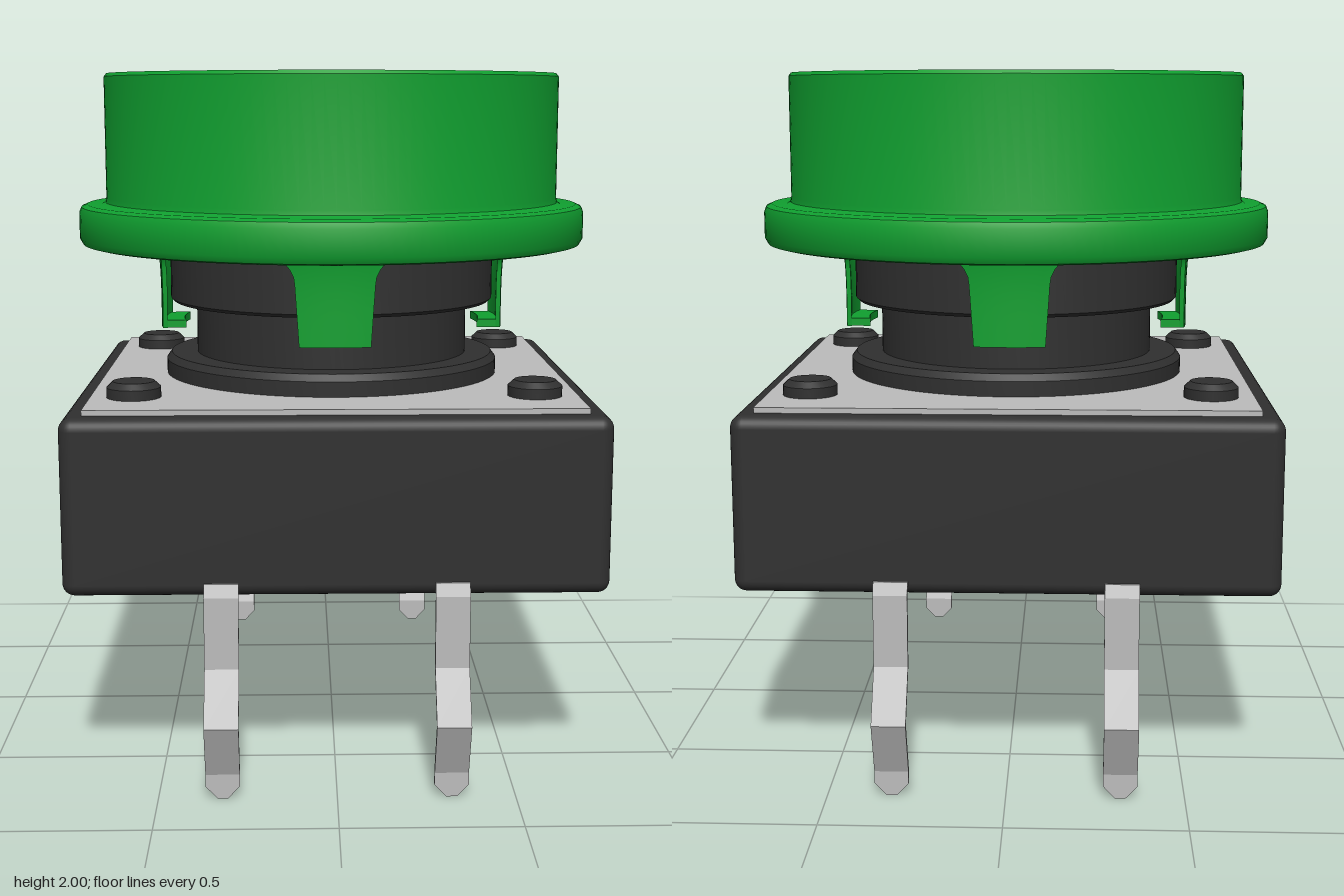
import * as THREE from 'three';
import { toCreasedNormals } from 'three/addons/utils/BufferGeometryUtils.js';
import { RoundedBoxGeometry } from 'three/addons/geometries/RoundedBoxGeometry.js';

const material = (name, color) => {
  const m = new THREE.MeshStandardMaterial({ color });
  m.name = name;
  return m;
};

export function createModel() {
  const green = material('green plastic', 0x10a030);
  const black = material('black plastic', 0x303030);
  const metal = material('grey metal', 0xbcbcbc);
  const model = new THREE.Group();
  model.name = 'pushButton';

  const add = (name, geometry, mat, parent = model) => {
    const mesh = new THREE.Mesh(geometry, mat);
    mesh.name = name;
    parent.add(mesh);
    return mesh;
  };
  const lathe = (points, segments = 96) => toCreasedNormals(
    new THREE.LatheGeometry(points.map(([r, y]) => new THREE.Vector2(r, y)), segments), 0.6);
  // A unit box whose vertices are moved by a rule
  const shapedBox = (nx, ny, rule, crease) => {
    const g = new THREE.BoxGeometry(1, 1, 1, nx, ny, 1);
    const p = g.attributes.position;
    for (let i = 0; i < p.count; i++) p.setXYZ(i, ...rule(p.getX(i), p.getY(i), p.getZ(i)));
    return toCreasedNormals(g, crease);
  };

  // Housing and its top plate
  const body = add('housing', new RoundedBoxGeometry(1.52, 0.5, 1.52, 4, 0.035), black);
  body.position.y = 0.82;
  const plate = add('topPlate', new THREE.BoxGeometry(1.4, 0.025, 1.4), metal);
  plate.position.y = 1.073;

  // Rivets on the plate corners
  for (const sx of [-1, 1]) for (const sz of [-1, 1]) {
    const rivet = add('rivet', lathe([[0, 1.07], [0.078, 1.07], [0.078, 1.115], [0.06, 1.132], [0, 1.132]], 32), black);
    rivet.position.set(sx * 0.575, 0, sz * 0.49);
  }

  // Collar and plunger with its wider head
  add('collar', lathe([[0, 1.07], [0.515, 1.07], [0.515, 1.13], [0.5, 1.15], [0, 1.15]]), black);
  add('plunger', lathe([[0, 1.1], [0.42, 1.1], [0.42, 1.31], [0.49, 1.31], [0.5, 1.32], [0.5, 1.65], [0, 1.65]]), black);

  // Hollow cap with a rounded flange
  add('cap', lathe([
    [0, 1.66], [0.53, 1.66], [0.53, 1.485], [0.745, 1.485], [0.765, 1.49], [0.775, 1.508],
    [0.775, 1.585], [0.768, 1.602], [0.75, 1.61], [0.705, 1.61], [0.695, 1.615], [0.692, 1.63],
    [0.692, 1.99], [0.684, 2], [0, 2],
  ], 128), green);

  // Snap clips flaring into the cap, each with an inward hook
  const around = (r, x, y) => {
    const a = x / r;
    return [r * Math.sin(a), y, r * Math.cos(a)];
  };
  const clipGeometry = shapedBox(10, 12, (x, y, z) => {
    const t = y + 0.5;
    const half = 0.103 + 0.018 * t + 0.055 * Math.max(0, (t - 0.7) / 0.3) ** 2;
    return around(0.523 + 0.014 * z + 0.012 * t ** 4, 2 * x * half, 1.23 + 0.265 * t);
  }, 0.6);
  const hookGeometry = shapedBox(10, 1, (x, y, z) =>
    around(0.491 + 0.064 * z, 0.2 * x, 1.242 + 0.024 * y), 0.6);
  for (let i = 0; i < 4; i++) {
    const clip = new THREE.Group();
    clip.name = 'snapClip';
    clip.rotation.y = i * Math.PI / 2;
    add('clipArm', clipGeometry, green, clip);
    add('clipHook', hookGeometry, green, clip);
    model.add(clip);
  }

  // Kinked legs: rows of [z, y, half width] from top to tip
  const path = [
    [0.762, 0.61, 0.048], [0.777, 0.575, 0.048], [0.777, 0.37, 0.048],
    [0.861, 0.228, 0.048], [0.796, 0.07, 0.048], [0.796, 0.035, 0.048], [0.796, 0, 0.015],
  ];
  const rows = path.length - 1;
  const legGeometry = shapedBox(1, rows, (x, y, z) => {
    const [pz, py, half] = path[Math.round((0.5 - y) * rows)];
    return [2 * x * half, py, pz + 0.012 * z];
  }, 0.1);
  for (const side of [0, Math.PI]) {
    const pair = new THREE.Group();
    pair.name = 'legPair';
    pair.rotation.y = side;
    for (const x of [-0.32, 0.32]) add('leg', legGeometry, metal, pair).position.x = x;
    model.add(pair);
  }
  return model;
}
